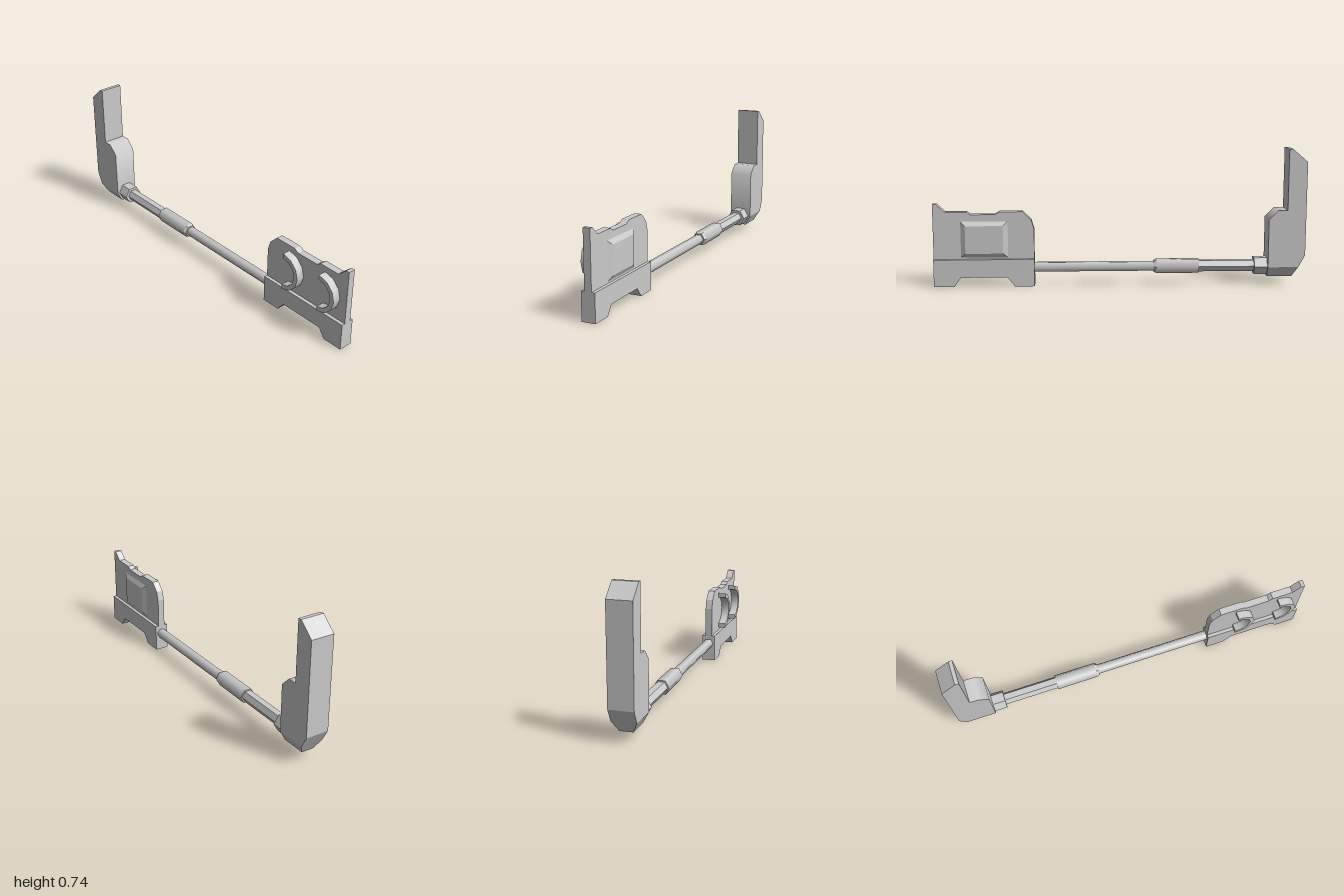
import * as THREE from 'three';
import { toCreasedNormals } from 'three/addons/utils/BufferGeometryUtils.js';

const grey = new THREE.MeshStandardMaterial({ color: 0xcccccc });
const flatGrey = new THREE.MeshStandardMaterial({ color: 0xcccccc, flatShading: true });
const AXIS_X = -0.002, AXIS_Y = 0.1;

// Extrudes a side profile of [z, y] points from x0 to x1.
function slab(points, x0, x1) {
  const shape = new THREE.Shape(points.map(([z, y]) => new THREE.Vector2(-z, y)));
  const geo = new THREE.ExtrudeGeometry(shape, { depth: x1 - x0, bevelEnabled: false });
  return geo.rotateY(Math.PI / 2).translate(x0, 0, 0);
}

// Moves every vertex by a rule, then refreshes the facet normals.
function reshape(geo, rule) {
  const p = geo.attributes.position, v = new THREE.Vector3();
  for (let i = 0; i < p.count; i++) {
    rule(v.fromBufferAttribute(p, i));
    p.setXYZ(i, v.x, v.y, v.z);
  }
  geo.computeVertexNormals();
  return geo;
}

// Six-sided rod along z.
function hexRod(zFront, zBack, rFront, rBack = rFront, open = false) {
  return new THREE.CylinderGeometry(rFront, rBack, zFront - zBack, 6, 1, open, Math.PI / 2)
    .rotateX(Math.PI / 2).translate(AXIS_X, AXIS_Y, (zFront + zBack) / 2);
}

export function createModel() {
  const model = new THREE.Group();
  const add = (name, geo, material = grey) => {
    const mesh = new THREE.Mesh(geo, material);
    mesh.name = name;
    model.add(mesh);
    return mesh;
  };

  // Front block: footed base and the thin upright plate above it
  add('base', slab([
    [1, 0], [0.89, 0], [0.855, 0.05], [0.605, 0.05], [0.565, 0],
    [0.46, 0], [0.46, 0.148], [1, 0.148],
  ], -0.04, 0.034));
  add('plate', slab([
    [1, 0.14], [0.46, 0.14], [0.46, 0.31], [0.475, 0.36], [0.52, 0.405], [0.645, 0.405],
    [0.67, 0.39], [0.8, 0.39], [0.82, 0.405], [0.935, 0.405], [0.98, 0.447], [1, 0.447],
  ], -0.022, 0.016));

  // Raised panel with bevelled edges on the left face
  const panel = new THREE.BoxGeometry(0.015, 0.2, 0.256).translate(0.0225, 0.255, 0.727);
  add('raisedPanel', reshape(panel, (v) => {
    if (v.x > 0.02) {
      v.y += v.y > 0.255 ? -0.025 : 0.025;
      v.z += v.z > 0.727 ? -0.027 : 0.027;
    }
  }), flatGrey);

  // Two half-round hooks on the right face
  for (const zc of [0.61, 0.852]) {
    const arc = (r) => Array.from({ length: 7 }, (_, i) => {
      const a = -Math.PI / 2 + (i * Math.PI) / 6;
      return [zc + r * Math.cos(a), 0.27 + r * Math.sin(a)];
    });
    add('hook', toCreasedNormals(slab([...arc(0.105), ...arc(0.08).reverse()], -0.065, -0.02), 0.7));
  }

  // Shaft, grip sleeve, rear rod and nut
  add('shaft', hexRod(0.47, -0.19, 0.028));
  add('gripCollar', hexRod(-0.185, -0.2, 0.035, 0.042), flatGrey);
  add('grip', hexRod(-0.2, -0.43, 0.042));
  add('rearRod', hexRod(-0.42, -0.74, 0.034), flatGrey);
  add('nut', hexRod(-0.73, -0.81, 0.052), flatGrey);

  // Tall rear pad; the front shoulder is softly rounded in shading
  const pad = slab([
    [-0.8, 0.1], [-0.965, 0.1], [-1, 0.165], [-1, 0.67], [-0.92, 0.74], [-0.9, 0.74],
    [-0.9, 0.41], [-0.85, 0.41], [-0.8, 0.36],
  ], -0.065, 0.063);
  const { position: p, normal: n } = pad.attributes;
  const near = (i, z, y) => Math.hypot(p.getZ(i) - z, p.getY(i) - y) < 0.005;
  for (let i = 0; i < p.count; i++) {
    if (Math.abs(n.getX(i)) > 0.1) continue;
    if (near(i, -0.8, 0.36)) n.setXYZ(i, 0, 0.383, 0.924);
    if (near(i, -0.85, 0.41)) n.setXYZ(i, 0, 0.924, 0.383);
  }
  add('rearPad', pad);

  // Keel of the pad, narrowing downwards
  const keel = slab([[-0.8, 0.045], [-0.935, 0.045], [-0.965, 0.1], [-0.8, 0.1]], -0.065, 0.063);
  add('padKeel', reshape(keel, (v) => {
    if (v.y < 0.08) v.x = -0.001 + Math.sign(v.x) * 0.034;
  }), flatGrey);

  return model;
}
